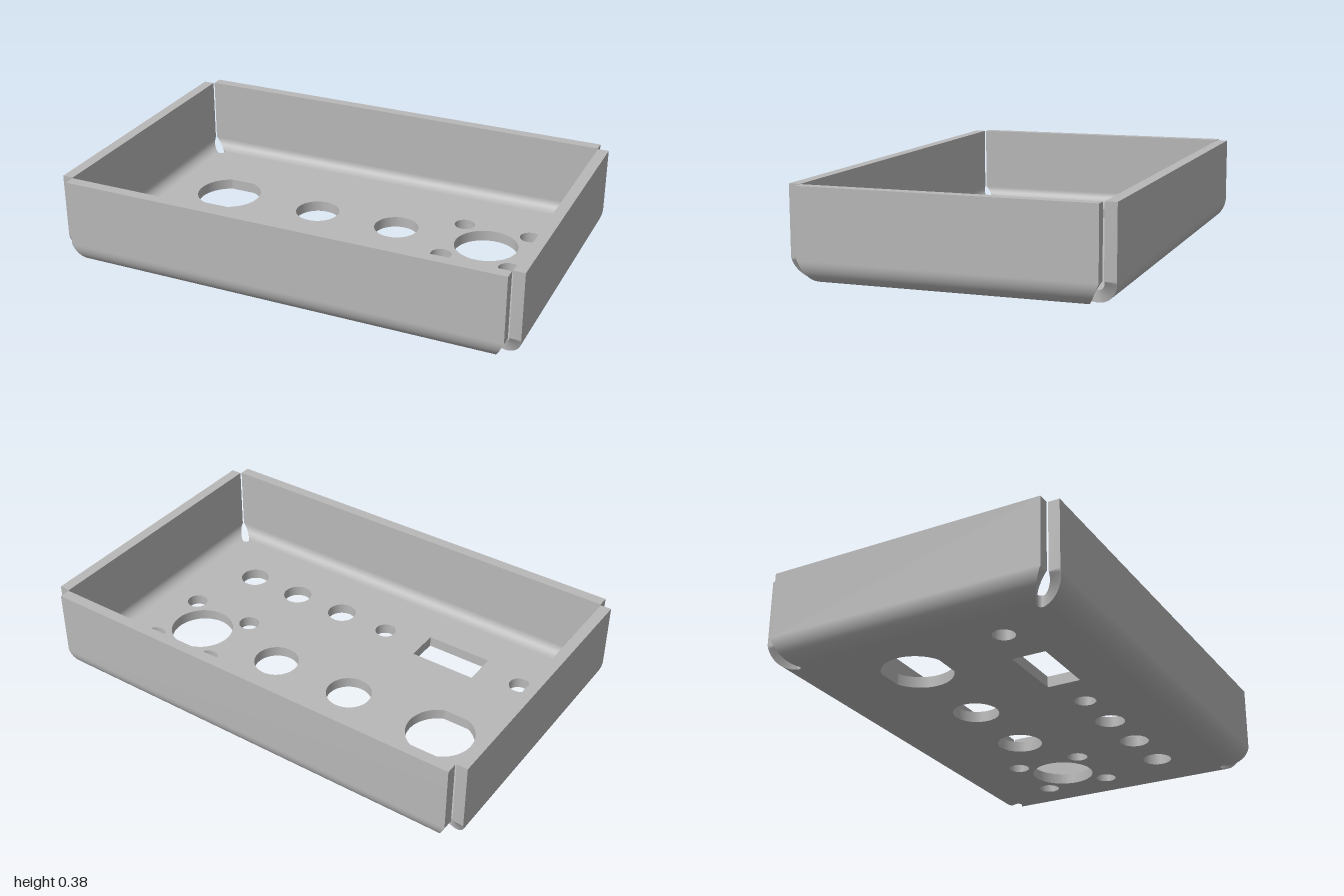
import * as THREE from 'three';

const T = 0.047, H = 0.38, R = 0.095;   // sheet thickness, wall height, outer bend radius
const HX = 1, HZ = 0.645;               // outer half sizes
const FX = HX - R, FZ = HZ - R;         // flat part of the floor
const NOTCH = 0.023;                    // corner relief cut into the floor
const BEND = 12;

// Floor plate with corner reliefs and cut-outs (shape y is -z)
function floorGeometry() {
  const shape = new THREE.Shape();
  const r = NOTCH / Math.SQRT2;
  [[1, 1], [-1, 1], [-1, -1], [1, -1]].forEach(([sx, sz], k) => {
    const a = -Math.PI / 4 + k * Math.PI / 2;
    shape.absarc(sx * (FX - NOTCH / 2), sz * (FZ - NOTCH / 2), r, a, a - Math.PI, true);
  });
  shape.closePath();

  const round = (x, z, radius) => {
    shape.holes.push(new THREE.Path().absarc(x, -z, radius, 0, Math.PI * 2, true));
  };
  // large socket with four screw holes
  round(0.612, -0.147, 0.137);
  for (const sx of [-1, 1]) for (const sz of [-1, 1]) round(0.612 + sx * 0.15, -0.147 + sz * 0.15, 0.045);
  // upper row
  round(-0.184, -0.147, 0.097);
  round(0.197, -0.147, 0.097);
  // lower row
  for (const x of [-0.754, -0.075]) round(x, 0.308, 0.045);
  for (const x of [0.163, 0.412, 0.66]) round(x, 0.308, 0.063);
  // rectangular switch opening
  shape.holes.push(new THREE.Path([[-0.561, -0.38], [-0.561, -0.235], [-0.267, -0.235], [-0.267, -0.38]]
    .map(([x, y]) => new THREE.Vector2(x, y))));
  // round opening with two flats
  const a = Math.asin(0.132 / 0.144);
  const flat = new THREE.Path();
  flat.absarc(-0.634, 0.147, 0.144, a, -a, true);
  flat.absarc(-0.634, 0.147, 0.144, Math.PI + a, Math.PI - a, true);
  flat.closePath();
  shape.holes.push(flat);

  const g = new THREE.ExtrudeGeometry(shape, { depth: T, bevelEnabled: false, curveSegments: 40 });
  return g.rotateX(-Math.PI / 2);
}

// Folded wall: a box bent up from the floor, its ends tapering through the bend
function wallGeometry(reach, halfBottom, halfTop) {
  const rows = BEND + 1;
  const g = new THREE.BoxGeometry(2, 1, 1, 1, rows, 1);
  const p = g.attributes.position;
  for (let i = 0; i < p.count; i++) {
    const row = Math.round((p.getY(i) + 0.5) * rows);
    const f = Math.min(row / BEND, 1);
    const t = f * Math.PI / 2;
    const r = p.getZ(i) > 0 ? R : R - T;
    const half = halfBottom + (halfTop - halfBottom) * f;
    p.setXYZ(i, Math.sign(p.getX(i)) * half,
      row > BEND ? H : R - r * Math.cos(t),
      reach - R + r * Math.sin(t));
  }
  g.computeVertexNormals();
  return g;
}

export function createModel() {
  const group = new THREE.Group();
  group.name = 'foldedEnclosure';
  const metal = new THREE.MeshStandardMaterial({ color: 0xb8b8b8 });
  metal.name = 'greySheetMetal';

  const add = (name, geometry, turn = 0) => {
    const mesh = new THREE.Mesh(geometry, metal);
    mesh.name = name;
    mesh.rotation.y = turn;
    group.add(mesh);
  };

  add('floorPlate', floorGeometry());
  const longWall = wallGeometry(HZ, FX - NOTCH, 0.95);
  const shortWall = wallGeometry(HX, FZ - NOTCH, 0.593);
  add('frontWall', longWall);
  add('backWall', longWall, Math.PI);
  add('leftWall', shortWall, Math.PI / 2);
  add('rightWall', shortWall, -Math.PI / 2);
  return group;
}
